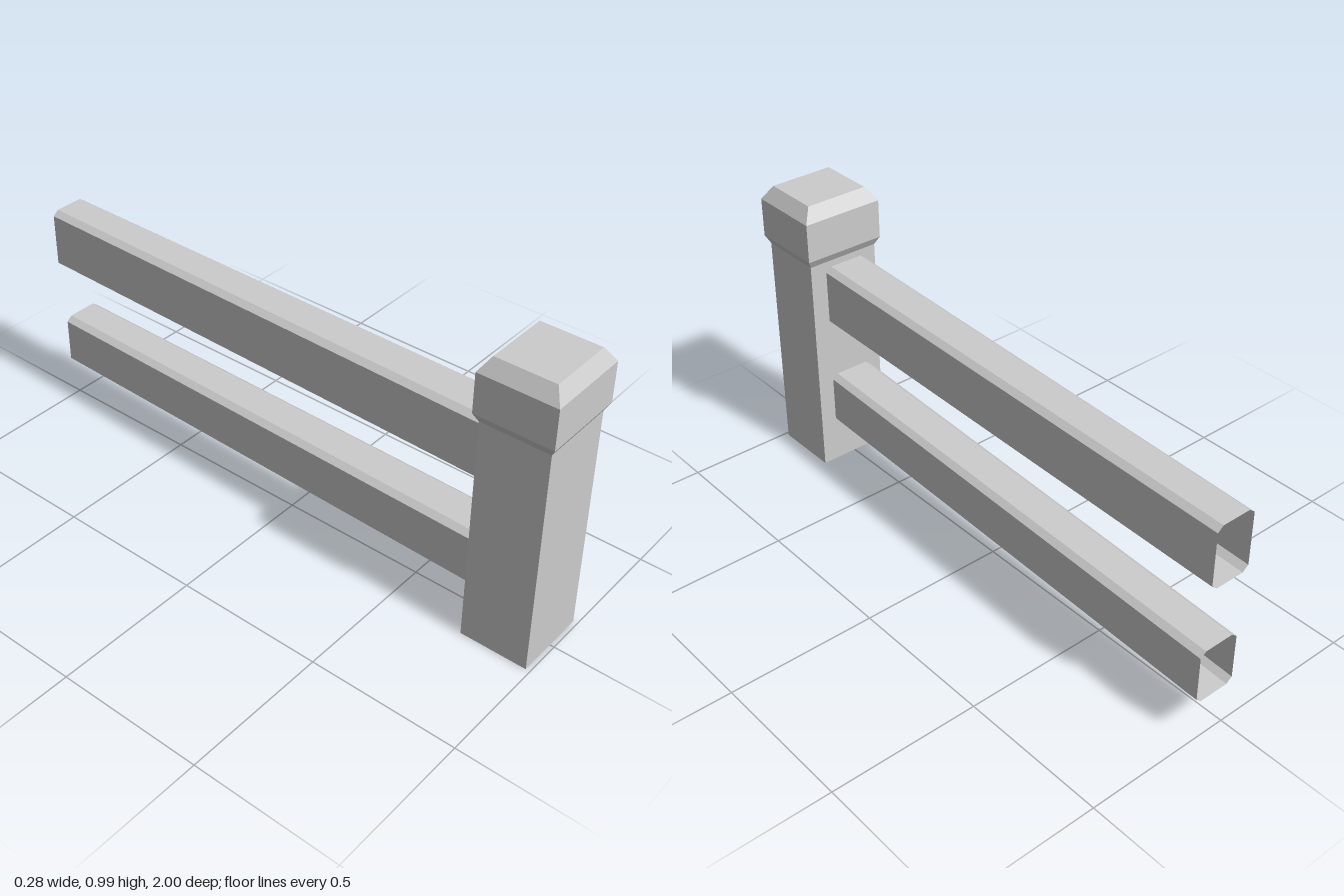
import * as THREE from 'three';

// Skin a stack of equal-sized rings with flat quads; optionally close the last ring.
function loft(rings, capEnd = false) {
  const pos = [];
  const tri = (...corners) => corners.forEach((p) => pos.push(...p));
  for (let r = 0; r < rings.length - 1; r++) {
    const lo = rings[r], hi = rings[r + 1];
    lo.forEach((a, i) => {
      const j = (i + 1) % lo.length;
      tri(a, lo[j], hi[j]);
      tri(a, hi[j], hi[i]);
    });
  }
  if (capEnd) {
    const end = rings[rings.length - 1];
    for (let i = 1; i < end.length - 1; i++) tri(end[0], end[i], end[i + 1]);
  }
  const geo = new THREE.BufferGeometry();
  geo.setAttribute('position', new THREE.Float32BufferAttribute(pos, 3));
  geo.computeVertexNormals();
  return geo;
}

// Horizontal rectangle of the post at height y
const POST_Z = 0.8715;
const postRing = (y, hx, hz) => [
  [hx, y, POST_Z + hz], [hx, y, POST_Z - hz], [-hx, y, POST_Z - hz], [-hx, y, POST_Z + hz],
];

// Upright rectangle with chamfered corners at depth z
function railRing(z, x0, x1, y0, y1, cx = 0.02, cy = 0.016) {
  return [
    [x1 - cx, y0, z], [x1, y0 + cy, z], [x1, y1 - cy, z], [x1 - cx, y1, z],
    [x0 + cx, y1, z], [x0, y1 - cy, z], [x0, y0 + cy, z], [x0 + cx, y0, z],
  ];
}

export function createModel() {
  const model = new THREE.Group();
  model.name = 'fenceSection';
  const grey = new THREE.MeshStandardMaterial({
    color: 0xcccccc, side: THREE.DoubleSide, flatShading: true,
  });
  grey.name = 'light grey';

  const add = (name, geo) => {
    const mesh = new THREE.Mesh(geo, grey);
    mesh.name = name;
    model.add(mesh);
  };

  // Post shaft, open underneath
  add('post', loft([postRing(0, 0.128, 0.114), postRing(0.777, 0.128, 0.114)]));

  // Wider cap with bevels above and below
  add('postCap', loft([
    postRing(0.777, 0.128, 0.114),
    postRing(0.805, 0.142, 0.1285),
    postRing(0.938, 0.142, 0.1285),
    postRing(0.985, 0.11, 0.099),
  ], true));

  // Hollow rails, open at the back and running slightly askew
  add('upperRail', loft([
    railRing(-1, -0.04, 0.1, 0.535, 0.745),
    railRing(0.758, -0.09, 0.069, 0.54, 0.754),
  ]));
  add('lowerRail', loft([
    railRing(-1, -0.026, 0.117, 0.138, 0.322),
    railRing(0.758, -0.088, 0.071, 0.15, 0.341),
  ]));

  return model;
}
